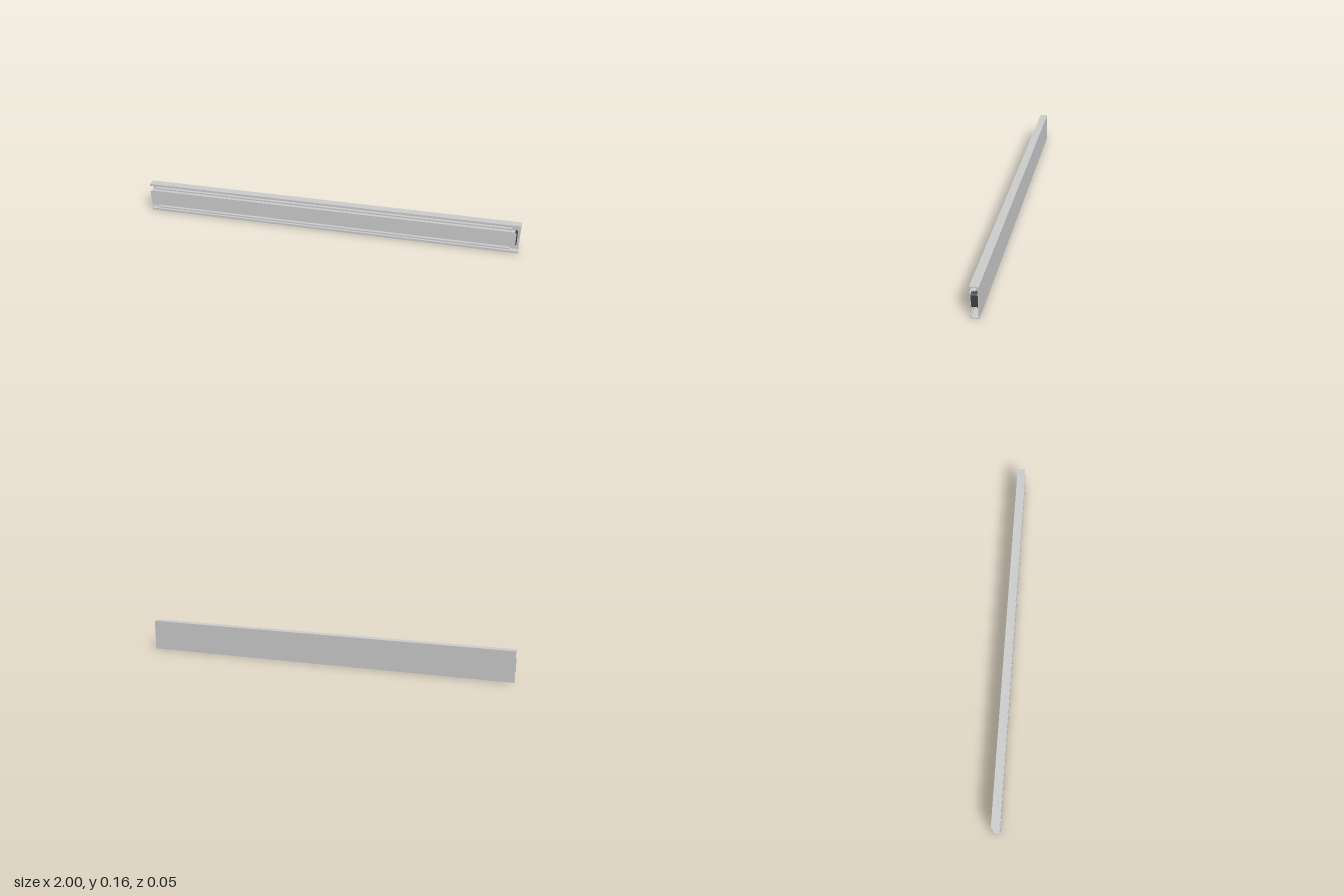
import * as THREE from 'three';

const MID_Y = 0.081;

function material(color) {
  return new THREE.MeshStandardMaterial({ color, flatShading: true });
}

function polygon(points) {
  return new THREE.Shape(points.map(([a, b]) => new THREE.Vector2(a, b)));
}

// Extrudes a (z, y) outline along x, from x0 to x1.
function extrudeAlongX(points, x0, x1) {
  const geo = new THREE.ExtrudeGeometry(polygon(points), { depth: x1 - x0, bevelEnabled: false });
  return geo.rotateY(-Math.PI / 2).translate(x1, MID_Y, 0);
}

// C-shaped outline opening to +z: web at the back, two flanges, inward lips.
function channelOutline(half, back, front, t, lip) {
  const upper = [
    [back, half], [front, half], [front, half - lip], [front - t, half - lip],
    [front - t, half - t], [back + t, half - t],
  ];
  return [...upper, ...upper.map(([z, y]) => [z, -y]).reverse()];
}

// Rectangle with cut corners, centred on y = 0.
function chamferedOutline(x0, x1, half, cx, cy) {
  return [
    [x0 + cx, -half], [x1 - cx, -half], [x1, cy - half], [x1, half - cy],
    [x1 - cx, half], [x0 + cx, half], [x0, half - cy], [x0, cy - half],
  ];
}

function extrudeAlongZ(points, z0, z1) {
  return new THREE.ExtrudeGeometry(polygon(points), { depth: z1 - z0, bevelEnabled: false })
    .translate(0, MID_Y, z0);
}

export function createModel() {
  const model = new THREE.Group();
  model.name = 'drawerSlide';
  const grey = material(0xcccccc);
  const black = material(0x404040);

  const add = (parent, name, geometry, mat) => {
    const mesh = new THREE.Mesh(geometry, mat);
    mesh.name = name;
    parent.add(mesh);
  };

  // Fixed and intermediate channels
  add(model, 'outerRail',
    extrudeAlongX(channelOutline(0.081, -0.0225, 0.0195, 0.0045, 0.012), -1, 1), grey);
  add(model, 'middleRail',
    extrudeAlongX(channelOutline(0.061, -0.0135, 0.0215, 0.0045, 0.008), -0.97, 0.955), grey);

  // Moving rail: front plate with cut corners and two flanges facing back
  const inner = new THREE.Group();
  inner.name = 'innerRail';
  model.add(inner);
  add(inner, 'frontPlate',
    extrudeAlongZ(chamferedOutline(-1, 0.98, 0.043, 0.008, 0.009), 0.018, 0.0225), grey);
  for (const side of [1, -1]) {
    const flange = new THREE.BoxGeometry(1.964, 0.0045, 0.02)
      .translate(-0.01, MID_Y + side * 0.04075, 0.008);
    add(inner, side > 0 ? 'upperFlange' : 'lowerFlange', flange, grey);
  }

  // Stop block at the end of the rails
  add(model, 'endStop',
    extrudeAlongZ(chamferedOutline(0.955, 0.986, 0.035, 0.006, 0.007), -0.018, 0.0165), black);

  return model;
}
